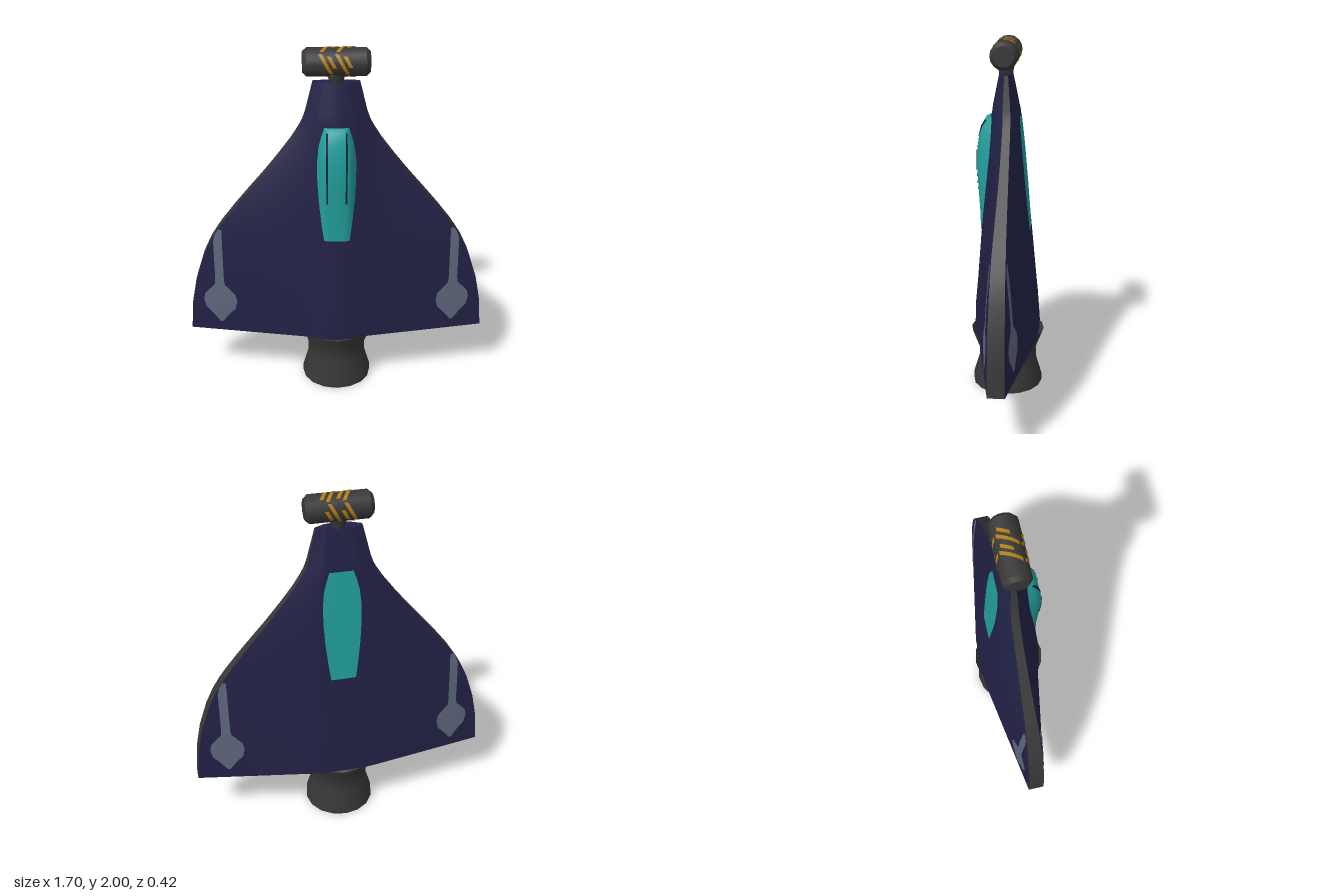
import * as THREE from 'three';
import { toCreasedNormals } from 'three/addons/utils/BufferGeometryUtils.js';

const mat = (name, color) => {
  const m = new THREE.MeshStandardMaterial({ color, side: THREE.DoubleSide });
  m.name = name;
  return m;
};

// Linear lookup in rows keyed by their first number
function lookup(rows, y) {
  let i = 0;
  while (i < rows.length - 2 && y > rows[i + 1][0]) i++;
  const a = rows[i], b = rows[i + 1];
  const t = THREE.MathUtils.clamp((y - a[0]) / (b[0] - a[0]), 0, 1);
  return a.map((v, k) => v + (b[k] - v) * t);
}

// Hull sections: y, half width, edge front z, edge back z, shoulder x, ridge front z, ridge back z
const HULL = [
  [0.33, 0.85, 0.03, -0.06, 0.15, 0.19, -0.183],
  [0.5, 0.836, 0.03, -0.058, 0.15, 0.184, -0.17],
  [0.65, 0.806, 0.03, -0.056, 0.15, 0.17, -0.155],
  [0.8, 0.757, 0.028, -0.053, 0.15, 0.158, -0.14],
  [0.9, 0.71, 0.027, -0.05, 0.15, 0.15, -0.13],
  [1.0, 0.645, 0.025, -0.047, 0.145, 0.142, -0.121],
  [1.1, 0.568, 0.021, -0.043, 0.14, 0.134, -0.112],
  [1.2, 0.485, 0.017, -0.04, 0.135, 0.125, -0.103],
  [1.3, 0.4, 0.014, -0.037, 0.13, 0.115, -0.094],
  [1.4, 0.32, 0.012, -0.034, 0.12, 0.105, -0.085],
  [1.5, 0.245, 0.011, -0.032, 0.11, 0.096, -0.075],
  [1.56, 0.207, 0.011, -0.031, 0.105, 0.09, -0.069],
  [1.6, 0.185, 0.012, -0.03, 0.1, 0.086, -0.065],
  [1.65, 0.167, 0.014, -0.027, 0.09, 0.08, -0.055],
  [1.82, 0.125, 0.008, -0.012, 0.07, 0.045, -0.022],
];

// Depth of the hull skin at x, y on the front (side 1) or back (side -1)
function hullZ(x, y, side) {
  const [, w, ef, eb, sx, rf, rb] = lookup(HULL, y);
  const edge = side > 0 ? ef : eb, ridge = side > 0 ? rf : rb;
  const shoulder = edge + (ridge - edge) * (side > 0 ? 0.77 : 0.97);
  const ax = Math.abs(x);
  if (ax > sx) return shoulder + (edge - shoulder) * Math.min(1, (ax - sx) / (w - sx));
  return ridge + (shoulder - ridge) * (ax / sx) ** 1.6;
}

// Skin over a list of u and v values; fn returns [x, y, z]
function sheet(us, vs, fn, flip = false) {
  const pos = [], index = [], n = us.length;
  vs.forEach(v => us.forEach(u => pos.push(...fn(u, v))));
  for (let j = 0; j < vs.length - 1; j++) for (let i = 0; i < n - 1; i++) {
    const a = j * n + i, b = a + 1, c = a + n, d = c + 1;
    index.push(...(flip ? [a, d, b, a, c, d] : [a, b, d, a, d, c]));
  }
  const g = new THREE.BufferGeometry();
  g.setAttribute('position', new THREE.Float32BufferAttribute(pos, 3));
  g.setIndex(index);
  g.computeVertexNormals();
  return g;
}
const range = (a, b, n) => Array.from({ length: n + 1 }, (_, i) => a + (b - a) * i / n);

// Canopy rows: y, half width, crown z
const CANOPY = [
  [0.95, 0.07, 0.148], [1.05, 0.084, 0.15], [1.18, 0.098, 0.157], [1.3, 0.105, 0.164],
  [1.4, 0.105, 0.163], [1.48, 0.097, 0.153], [1.54, 0.082, 0.138], [1.575, 0.07, 0.12], [1.59, 0.066, 0.093],
];
function canopyZ(x, y) {
  const [, w, crown] = lookup(CANOPY, y);
  const t = Math.max(0, (Math.abs(x) / w - 0.55) / 0.45);
  const base = hullZ(x, y, 1) + 0.003;
  return Math.max(base, crown + (base - crown) * t ** 1.4);
}

// Wing marking rows: y, half width
const MARK = [
  [0.39, 0.008], [0.42, 0.03], [0.45, 0.055], [0.48, 0.085], [0.53, 0.097], [0.57, 0.088],
  [0.6, 0.06], [0.63, 0.03], [0.66, 0.025], [0.8, 0.025], [0.9, 0.025], [0.97, 0.025],
];

export function createModel() {
  const model = new THREE.Group();
  model.name = 'deltaWingCraft';
  const navy = mat('navy hull', 0x222246), dark = mat('dark metal', 0x383838);
  const teal = mat('teal glass', 0x22a09c), grey = mat('grey marking', 0x5d667c);
  const gold = mat('gold stripe', 0xb07c10), frame = mat('canopy frame', 0x14243a);
  const add = (name, geometry, material, parent = model) => {
    const m = new THREE.Mesh(geometry, material);
    m.name = name;
    parent.add(m);
    return m;
  };

  // Hull skins: u runs across the width, denser around the central ridge
  const us = range(-1, 1, 40).map(u => Math.sign(u) * Math.abs(u) ** 1.5);
  const ys = HULL.map(r => r[0]);
  const width = y => lookup(HULL, y)[1];
  for (const side of [1, -1]) {
    add(side > 0 ? 'hullFront' : 'hullBack', sheet(us, ys, (u, y) => {
      const x = u * width(y);
      return [x, y, hullZ(x, y, side)];
    }, side < 0), navy);

    // Leading edge band
    add(side > 0 ? 'leftWingEdge' : 'rightWingEdge', sheet([1, -1], ys, (s, y) => {
      const x = side * width(y);
      return [x, y, hullZ(x, y, s)];
    }, side < 0), dark);
  }
  // Tail and nose end faces
  const endFace = (y, flip) => sheet(us, [-1, 1], (u, s) => {
    const x = u * width(y);
    return [x, y, hullZ(x, y, s)];
  }, flip);
  add('tailFace', endFace(0.33, false), dark);
  add('noseFace', endFace(1.82, true), navy);

  // Raised canopy, its two frame bars, and the flat panel behind
  const canopyYs = [...CANOPY.map(r => r[0]), 1.35, 1.44, 1.51].sort((a, b) => a - b);
  const canopyUs = [-1, -0.88, -0.75, -0.55, 0, 0.55, 0.75, 0.88, 1];
  add('canopy', sheet(canopyUs, canopyYs, (u, y) => {
    const x = u * lookup(CANOPY, y)[1];
    return [x, y, canopyZ(x, y)];
  }), teal);
  for (const s of [-1, 1]) {
    add('canopyFrame', sheet([-0.005, 0.005], range(1.18, 1.57, 24), (u, y) => {
      const x = s * 0.052 + u;
      return [x, y, canopyZ(x, y) + 0.003];
    }), frame);
  }
  add('backPanel', sheet(range(-1, 1, 12), canopyYs, (u, y) => {
    const x = u * lookup(CANOPY, y)[1];
    return [x, y, hullZ(x, y, -1) - 0.004];
  }, true), teal);

  // Wing markings on both skins
  const markYs = [...MARK.map(r => r[0]), 0.85, 0.94].sort((a, b) => a - b);
  for (const s of [-1, 1]) for (const side of [1, -1]) {
    add('wingMarking', sheet(range(-1, 1, 4), markYs, (u, y) => {
      const x = THREE.MathUtils.clamp(s * 0.67 + u * lookup(MARK, y)[1], -width(y), width(y));
      return [x, y, hullZ(x, y, side) + side * 0.004];
    }, side < 0), grey);
  }

  // Engine: cone inside an open bell, waist and upper flare
  const bell = [
    [0, 0.025], [0.05, 0.08], [0.1, 0.12], [0.145, 0.13], [0.18, 0.04], [0.185, 0], [0.2, 0], [0.2, 0.04],
    [0.167, 0.15], [0.167, 0.22], [0.19, 0.28], [0.21, 0.335],
  ].map(p => new THREE.Vector2(...p));
  add('engineNozzle', toCreasedNormals(new THREE.LatheGeometry(bell, 16), 0.6), dark);

  // Nose neck and crosswise drum
  const neck = add('noseNeck', new THREE.CylinderGeometry(0.052, 0.035, 0.08, 12), dark);
  neck.position.set(0, 1.845, 0.01);
  const drum = new THREE.Group();
  drum.name = 'noseDrum';
  drum.position.set(0, 1.925, 0.008);
  model.add(drum);
  const R = 0.075, L = 0.178;
  const barrel = [[0, -L], [0.055, -L], [R, -L + 0.022], [R, L - 0.022], [0.055, L], [0, L]]
    .map(p => new THREE.Vector2(...p));
  const drumMesh = add('drumBarrel', toCreasedNormals(new THREE.LatheGeometry(barrel, 16), 0.5), dark, drum);
  drumMesh.rotation.z = Math.PI / 2;

  // Slanted hazard stripes, alternating direction per quarter turn
  for (let q = 0; q < 4; q++) for (const cx of [-0.04, 0.045]) for (const k of [-1, 1]) {
    const slope = q % 2 ? 1 : -1;
    const start = (q - 0.5) * Math.PI / 2;
    const span = Math.PI / 2;
    const t0 = k < 0 ? 0 : 0.1, t1 = k < 0 ? 0.9 : 0.6;
    add('hazardStripe', sheet([0, 1], range(t0, t1, 6), (u, t) => {
      const a = start + t * span;
      const x = cx + slope * (t - 0.5) * 0.065 + (k < 0 ? -0.022 : 0.015) + u * 0.02;
      return [x, Math.cos(a) * (R + 0.003), Math.sin(a) * (R + 0.003)];
    }, true), gold, drum);
  }
  return model;
}
